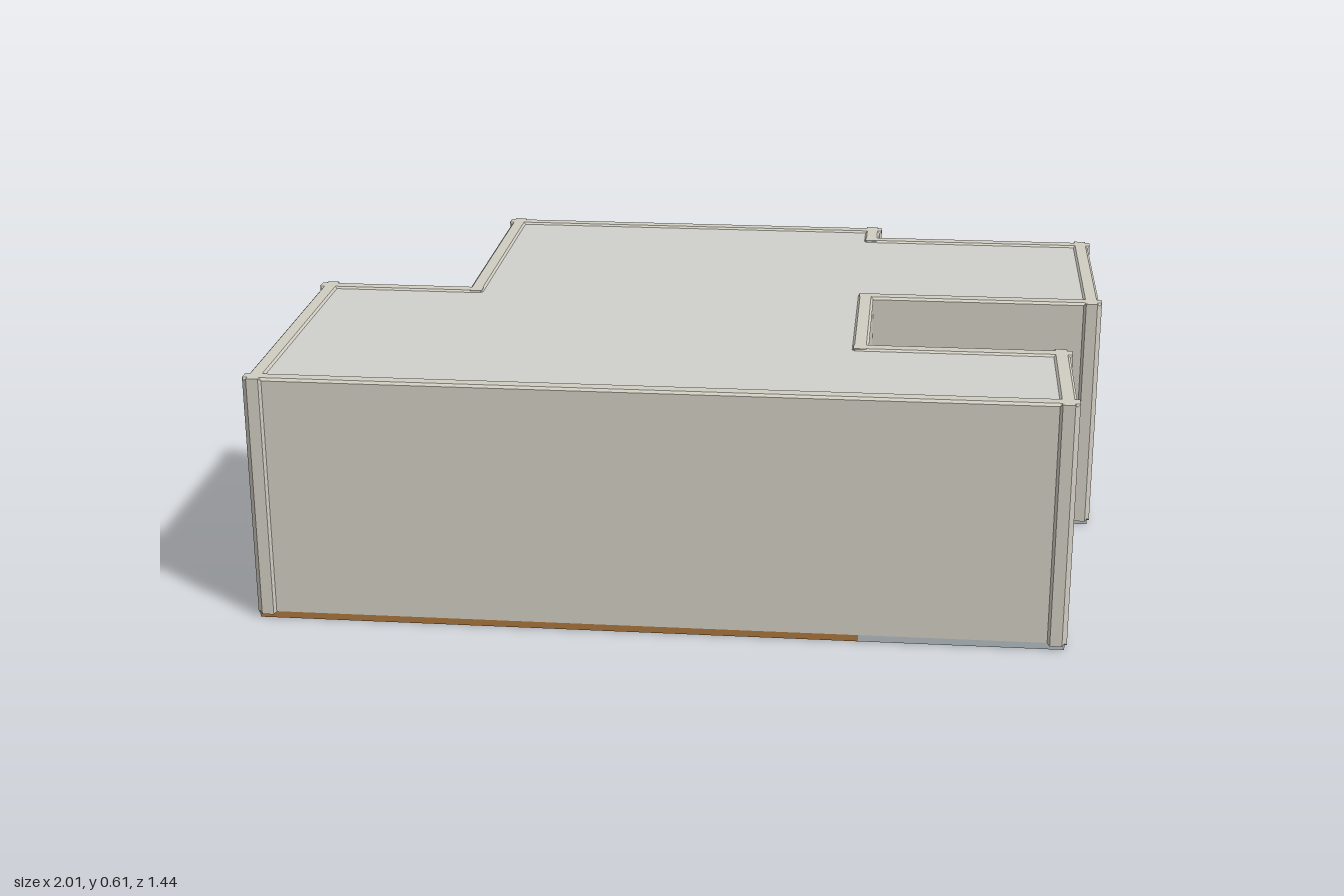
import * as THREE from 'three';

const HEIGHT = 0.6, FLOOR = 0.016, WALL = 0.04, BEVEL = 0.006;

// Footprint corners as [x, z], clockwise seen from above
const OUTLINE = [
  [-1, -0.05], [-0.617, -0.05], [-0.617, -0.713], [0.427, -0.713],
  [0.427, -0.617], [1, -0.617], [1, -0.05], [0.427, -0.05],
  [0.427, 0.33], [0.905, 0.33], [0.905, 0.713], [-1, 0.713],
];

// Windows by wall index: start and end measured from the wall's far corner
const WINDOWS = { 2: [0.565, 0.887], 5: [0.143, 0.378], 11: [0.27, 0.61] };
const SILL = 0.228, HEAD = 0.465;

const material = (color) => new THREE.MeshStandardMaterial({ color });
const wallMat = material(0xd0ccc1);
const roofMat = material(0xd0d1cc);
const woodMat = material(0xa8743c);
const slabMat = material(0xb4bcc0);
const frameMat = material(0xb4b4ae);
const glassMat = material(0xccd8de);

function add(parent, name, geometry, mat, x = 0, y = 0, z = 0) {
  const mesh = new THREE.Mesh(geometry, mat);
  mesh.name = name;
  mesh.position.set(x, y, z);
  parent.add(mesh);
  return mesh;
}

function rectPoints(x0, y0, x1, y1) {
  return [[x0, y0], [x1, y0], [x1, y1], [x0, y1]].map(([x, y]) => new THREE.Vector2(x, y));
}

// Flat slab over a plan of [x, z] corners, with its upper face at y = top
function addSlab(parent, name, plan, top, depth, mat) {
  const shape = new THREE.Shape(plan.map(([x, z]) => new THREE.Vector2(x, z)));
  const geometry = new THREE.ExtrudeGeometry(shape, { depth, bevelEnabled: false });
  geometry.rotateX(Math.PI / 2);
  add(parent, name, geometry, mat, 0, top, 0);
}

// Two-pane sliding window set back in its opening
function addWindow(parent, x0, x1) {
  const window = new THREE.Group();
  window.name = 'window';
  parent.add(window);
  const b = 0.009, mid = (x0 + x1) / 2, h = HEAD - SILL;
  const ring = new THREE.Shape(rectPoints(x0, SILL, x1, HEAD));
  ring.holes.push(new THREE.Path(rectPoints(x0 + b, SILL + b, x1 - b, HEAD - b)));
  add(window, 'windowFrame', new THREE.ExtrudeGeometry(ring, { depth: 0.014, bevelEnabled: false }),
    frameMat, 0, 0, -0.034);
  add(window, 'windowMullion', new THREE.BoxGeometry(b, h - b, 0.014), frameMat, mid, SILL + h / 2, -0.027);
  for (const side of [-1, 1]) {
    add(window, 'windowPane', new THREE.BoxGeometry((x1 - x0) / 2 - b, h - b, 0.006), glassMat,
      mid + side * (x1 - x0) / 4, SILL + h / 2, -0.031);
  }
}

export function createModel() {
  const model = new THREE.Group();
  model.name = 'house';
  const n = OUTLINE.length;
  const edge = (i) => {
    const a = OUTLINE[(i + n) % n], b = OUTLINE[(i + 1) % n];
    return [b[0] - a[0], b[1] - a[1]];
  };
  // True where the wall before corner i turns outward to wall i
  const convex = (i) => {
    const p = edge(i - 1), q = edge(i % n);
    return p[0] * q[1] - p[1] * q[0] > 0;
  };

  // Walls: one bevelled slab per side, run on into the building at inner corners
  for (let i = 0; i < n; i++) {
    const [dx, dz] = edge(i), length = Math.hypot(dx, dz);
    const end = OUTLINE[(i + 1) % n];
    const wall = new THREE.Group();
    wall.name = 'wallSection';
    wall.position.set(end[0], 0, end[1]);
    wall.rotation.y = Math.atan2(dz, -dx);
    model.add(wall);

    const s0 = convex(i + 1) ? 0 : -0.03;
    const s1 = convex(i) ? length : length + 0.03;
    const shape = new THREE.Shape(rectPoints(s0, FLOOR, s1, HEIGHT - 0.001));
    if (WINDOWS[i]) {
      const [w0, w1] = WINDOWS[i];
      shape.holes.push(new THREE.Path(rectPoints(w0, SILL, w1, HEAD)));
      addWindow(wall, w0, w1);
    }
    const geometry = new THREE.ExtrudeGeometry(shape, {
      depth: WALL - 2 * BEVEL, bevelThickness: BEVEL, bevelSize: BEVEL, bevelOffset: 0, bevelSegments: 1,
    });
    add(wall, 'wall', geometry, wallMat, 0, 0, BEVEL - WALL);
  }

  // Roof: set in from the wall faces so that their bevelled rim shows
  const inset = OUTLINE.map(([x, z], i) => {
    const before = edge(i - 1), after = edge(i);
    let px = x, pz = z;
    for (const [dx, dz] of [before, after]) {
      px -= Math.sign(dz) * BEVEL;
      pz += Math.sign(dx) * BEVEL;
    }
    return [px, pz];
  });
  addSlab(model, 'roof', inset, HEIGHT, 0.02, roofMat);

  // Floors: wood under the main rooms, pale slabs under the two wings
  const main = [0, 1, 2, 3, 8].map((i) => OUTLINE[i]);
  main[4] = [0.427, 0.713];
  addSlab(model, 'woodFloor', [...main, OUTLINE[11]], FLOOR, FLOOR, woodMat);
  addSlab(model, 'backWingFloor', OUTLINE.slice(4, 8), FLOOR, FLOOR, slabMat);
  addSlab(model, 'frontWingFloor', [OUTLINE[8], OUTLINE[9], OUTLINE[10], [0.427, 0.713]], FLOOR, FLOOR, slabMat);
  return model;
}
